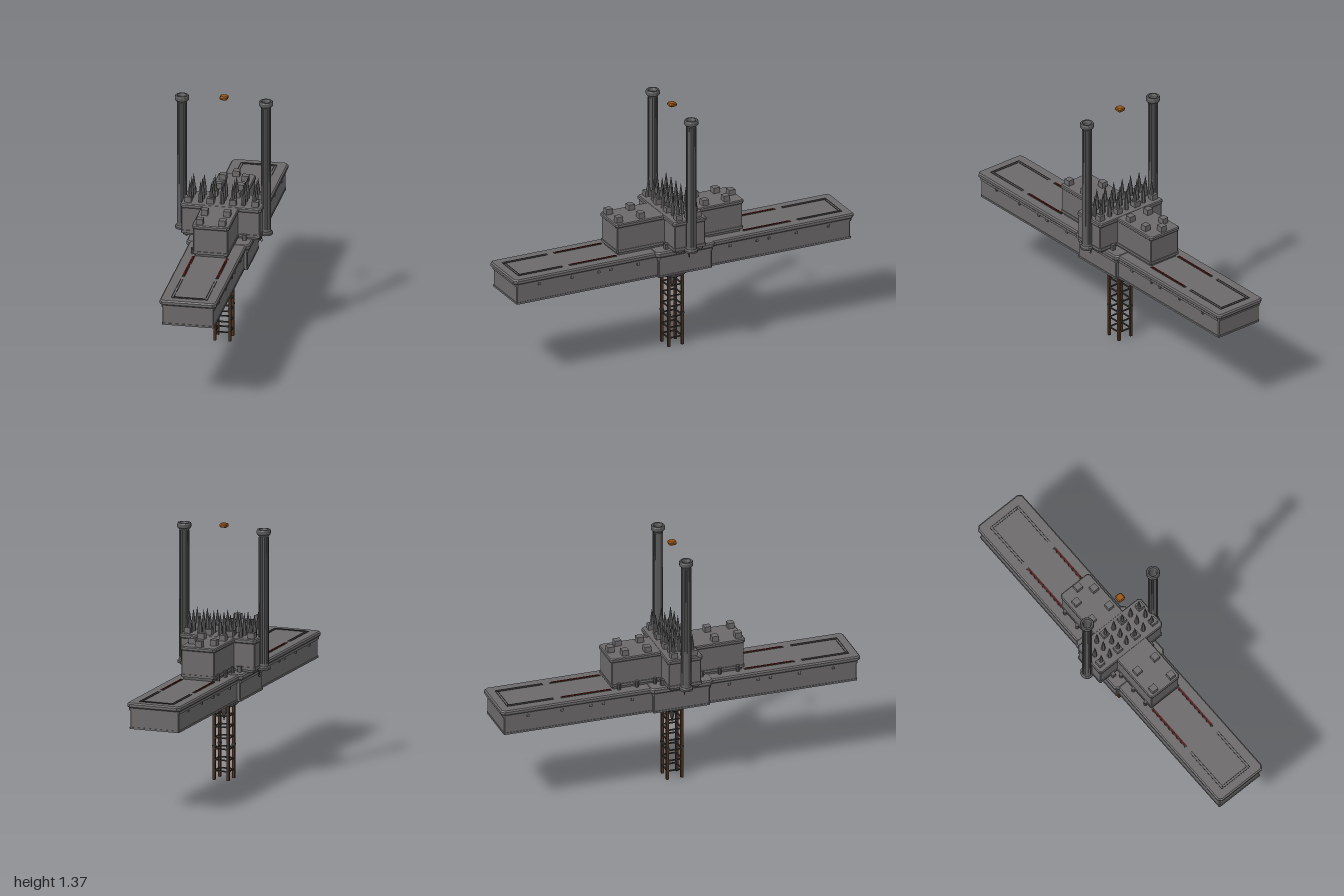
import * as THREE from 'three';

const paint = (name, color) => {
  const m = new THREE.MeshStandardMaterial({ color });
  m.name = name;
  return m;
};

export function createModel() {
  const root = new THREE.Group();
  root.name = 'floatingFortress';
  const stone = paint('stone', 0x6b696a);
  const darkStone = paint('darkStone', 0x5a5a5b);
  const iron = paint('iron', 0x39393a);
  const wood = paint('wood', 0x4a3020);
  const red = paint('darkRed', 0x5c0c0c);
  const amber = paint('amber', 0x9a5410);

  // Faceted mesh helper
  const add = (name, geometry, material, x = 0, y = 0, z = 0, parent = root) => {
    const g = geometry.index ? geometry.toNonIndexed() : geometry;
    g.computeVertexNormals();
    const mesh = new THREE.Mesh(g, material);
    mesh.name = name;
    mesh.position.set(x, y, z);
    parent.add(mesh);
    return mesh;
  };
  const box = (name, w, h, d, x, y, z, material = stone) =>
    add(name, new THREE.BoxGeometry(w, h, d), material, x, y, z);
  const lathe = (name, points, sides, material, x = 0, y = 0, z = 0) =>
    add(name, new THREE.LatheGeometry(points.map(p => new THREE.Vector2(...p)), sides), material, x, y, z);

  // Horizontal slab with cut corners and a chamfered rim
  const slab = (name, hx, hz, y0, y1, cut = 0.015, bevel = 0, material = stone) => {
    const a = hx - bevel, b = hz - bevel;
    const shape = new THREE.Shape([
      [a - cut, -b], [a, -b + cut], [a, b - cut], [a - cut, b],
      [-a + cut, b], [-a, b - cut], [-a, -b + cut], [-a + cut, -b],
    ].map(p => new THREE.Vector2(...p)));
    const g = new THREE.ExtrudeGeometry(shape, {
      depth: y1 - y0 - 2 * bevel, bevelEnabled: bevel > 0,
      bevelSize: bevel, bevelThickness: bevel, bevelSegments: 1,
    });
    g.rotateX(-Math.PI / 2);
    return add(name, g, material, 0, y0 + bevel, 0);
  };

  // Long deck, with a wider middle section
  for (const [label, hx, hz] of [['deck', 0.137, 0.98], ['deckMiddle', 0.155, 0.155]]) {
    slab(label + 'Foot', hx + 0.003, hz + 0.003, 0.46, 0.47, 0.004);
    slab(label + 'Body', hx, hz, 0.47, 0.565, 0.004);
    slab(label + 'Moulding', hx + 0.006, hz + 0.006, 0.56, 0.58, 0.008);
    slab(label + 'Cap', hx + 0.015, hz + 0.02, 0.575, label === 'deck' ? 0.603 : 0.606, 0.014, 0.007);
  }

  // Studs below the deck rim
  for (const s of [-1, 1]) {
    for (const z of [0.85, 0.66, 0.5, 0.43, 0.27, -0.27, -0.43, -0.5, -0.66, -0.85])
      box('rimStud', 0.012, 0.014, 0.014, s * 0.139, 0.556, z);
  }

  // Inlaid double lines and red strips on the deck
  for (const s of [-1, 1]) {
    for (const w of [0.096, 0.084]) {
      for (const x of [-w, w]) box('deckInlay', 0.003, 0.003, 0.26, x, 0.604, s * 0.82, iron);
      box('deckInlayEnd', 2 * w, 0.003, 0.003, 0, 0.604, s * (0.95 - (0.096 - w)), iron);
    }
    for (const x of [-0.09, 0.09]) {
      box('stripBed', 0.015, 0.003, 0.28, x, 0.604, s * 0.51, iron);
      for (let i = 0; i < 9; i++)
        box('redStrip', 0.009, 0.005, 0.026, x, 0.605, s * (0.388 + i * 0.03), red);
    }
  }

  // Cross-shaped citadel
  for (const [label, hx, hz, d] of [['longHall', 0.093, 0.368, 0], ['crossHall', 0.21, 0.09, 0.001]]) {
    slab(label + 'Plinth', hx - 0.006, hz - 0.008, 0.603, 0.622, 0.006, 0, darkStone);
    slab(label + 'Base', hx + 0.004, hz + 0.004, 0.618 - d, 0.632 + d, 0.006);
    slab(label + 'Walls', hx, hz, 0.63, 0.765, 0.004);
    slab(label + 'Cornice', hx + 0.007, hz + 0.009, 0.76 - d, 0.782 + d, 0.01, 0.005);
  }

  // Merlon blocks on the roof
  const merlon = (x, z) => box('merlon', 0.036, 0.034, 0.036, x, 0.796, z);
  for (const x of [-0.06, 0.06])
    for (const z of [-0.285, -0.16, -0.055, 0.055, 0.215, 0.345]) merlon(x, z);
  merlon(0, -0.345);
  for (const x of [-0.18, 0.18]) for (const z of [-0.055, 0.055]) merlon(x, z);

  // Roof spikes in three rows
  for (let i = -3; i <= 3; i++) {
    for (let j = -1; j <= 1; j++)
      lathe('roofSpike', [[0.013, 0], [0.012, 0.04], [0.006, 0.085], [0, 0.122]], 6, darkStone,
        i * 0.0575, 0.78, j * 0.052);
  }

  // Pegs along one wall of the long hall
  for (const z of [-0.33, -0.23, -0.13, 0.13, 0.23, 0.33])
    add('wallPeg', new THREE.CylinderGeometry(0.01, 0.01, 0.035, 8), darkStone, -0.101, 0.62, z);

  // Hollow columns with base, capital and hanging chains
  for (const s of [-1, 1]) {
    lathe('column', [
      [0.026, 0.605], [0.036, 0.608], [0.037, 0.62], [0.029, 0.627], [0.026, 0.64], [0.024, 1.32],
      [0.029, 1.328], [0.037, 1.336], [0.038, 1.354], [0.034, 1.361], [0.025, 1.361],
      [0.02, 1.35], [0.02, 0.61], [0.026, 0.605],
    ], 12, darkStone, s * 0.225);
    for (let i = 0; i < 12; i++) {
      const a = i * Math.PI / 6;
      add('columnRib', new THREE.CylinderGeometry(0.003, 0.003, 0.68, 5), darkStone,
        s * 0.225 + Math.sin(a) * 0.0245, 0.98, Math.cos(a) * 0.0245);
    }
    // Bracket linking the column foot to the deck
    box('columnBracket', 0.05, 0.014, 0.05, s * 0.187, 0.61, 0, darkStone);
    for (let i = 0; i < 3; i++) {
      const link = add('chainLink', new THREE.TorusGeometry(0.005, 0.0018, 4, 8), iron, s * 0.2, 0.598 - i * 0.013, 0);
      link.rotation.y = i * Math.PI / 2;
      link.scale.y = 1.5;
    }
    for (const z of [-0.1, 0.1]) box('cornerBlock', 0.02, 0.03, 0.02, s * 0.13, 0.621, z, darkStone);
  }

  // Underside bowl and its pointed drop
  lathe('bowl', [[0, 0.392], [0.05, 0.392], [0.078, 0.41], [0.104, 0.44], [0.104, 0.448], [0.09, 0.453], [0.09, 0.465]],
    16, darkStone);
  lathe('bowlDrop', [[0, 0.312], [0.01, 0.345], [0.022, 0.395]], 8, darkStone);

  // Four-sided ladder tower
  for (const x of [-0.04, 0.04])
    for (const z of [-0.04, 0.04]) {
      box('ladderPost', 0.014, 0.41, 0.014, x, 0.205, z, wood);
      box('postJoint', 0.018, 0.008, 0.018, x, 0.182, z, iron);
    }
  for (let i = 0; i < 6; i++) {
    for (const s of [-1, 1]) {
      box('rung', 0.08, 0.007, 0.006, 0, 0.048 + i * 0.0595, s * 0.04, iron);
      box('sideRung', 0.006, 0.007, 0.08, s * 0.04, 0.048 + i * 0.0595, 0, iron);
    }
  }

  // Amber beacon floating above the citadel
  const beacon = slab('beacon', 0.021, 0.021, 1.354, 1.374, 0.004, 0.005, amber);
  beacon.name = 'floatingBeacon';

  return root;
}
